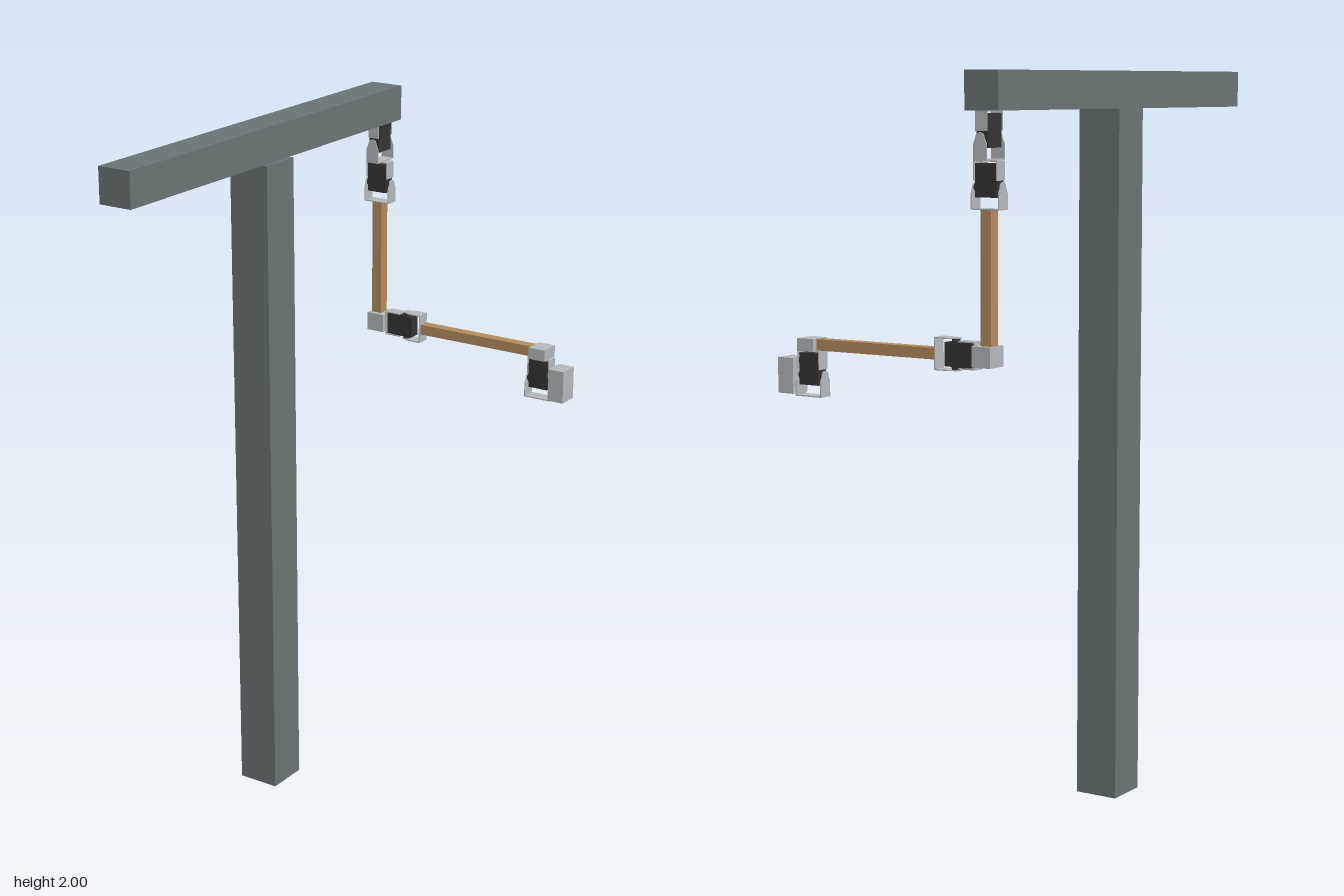
import * as THREE from 'three';

const mat = (name, color) => {
  const m = new THREE.MeshStandardMaterial({ color });
  m.name = name;
  return m;
};

export function createModel() {
  const steel = mat('slate grey', 0x6a7474);
  const metal = mat('light grey', 0xb4b8ba);
  const dark = mat('servo black', 0x343434);
  const wood = mat('wood', 0xb38b5e);

  const model = new THREE.Group();
  model.name = 'armOnStand';

  const add = (parent, name, geometry, material, x = 0, y = 0, z = 0) => {
    const mesh = new THREE.Mesh(geometry, material);
    mesh.name = name;
    mesh.position.set(x, y, z);
    parent.add(mesh);
    return mesh;
  };
  // Box given by its minimum and maximum on each axis
  const box = (parent, name, material, [x0, x1], [y0, y1], [z0, z1]) =>
    add(parent, name, new THREE.BoxGeometry(x1 - x0, y1 - y0, z1 - z0), material,
      (x0 + x1) / 2, (y0 + y1) / 2, (z0 + z1) / 2);

  // Tapered side plate of a joint bracket, rounded at the pivot
  const T = 0.003;
  const outline = new THREE.Shape();
  outline.moveTo(-0.02, -0.122);
  outline.lineTo(0.02, -0.122);
  outline.lineTo(0.02, -0.082);
  outline.lineTo(0.013, -0.066);
  outline.absarc(0, -0.066, 0.013, 0, Math.PI, false);
  outline.lineTo(-0.02, -0.082);
  outline.closePath();
  const plateGeometry = new THREE.ExtrudeGeometry(outline, { depth: T, bevelEnabled: false, curveSegments: 6 });
  plateGeometry.translate(0, 0, -T / 2);
  plateGeometry.rotateY(Math.PI / 2);

  // Servo joint hanging along local -y, hinged about local x
  function joint(name, x, y, z) {
    const g = new THREE.Group();
    g.name = name;
    g.position.set(x, y, z);
    box(g, 'holderBase', metal, [-0.035, 0.035], [-T, 0], [-0.018, 0.018]);
    box(g, 'servoBody', dark, [-0.031, 0.031], [-0.092, -0.007], [-0.017, 0.017]);
    box(g, 'servoFlange', dark, [-0.033, 0.033], [-0.075, -0.02], [-0.015, 0.015]);
    for (const s of [-1, 1]) {
      add(g, 'holderSide', new THREE.BoxGeometry(T, 0.05, 0.036), metal, s * 0.0345, -0.025, 0);
      const horn = add(g, 'servoHorn', new THREE.CylinderGeometry(0.011, 0.011, 0.009, 16), dark, s * 0.036, -0.067, 0);
      horn.rotation.z = Math.PI / 2;
      add(g, 'bracketSide', plateGeometry, metal, s * 0.041, 0, 0);
    }
    box(g, 'bracketBase', metal, [-0.0425, 0.0425], [-0.123, -0.12], [-0.02, 0.02]);
    model.add(g);
    return g;
  }

  // Stand
  box(model, 'post', steel, [-0.36, -0.236], [0, 1.9], [-0.059, 0.066]);
  box(model, 'beam', steel, [-0.35, -0.249], [1.9, 2], [-0.629, 0.636]);

  const X = -0.3, Z = -0.595, Y = 1.285;

  // Two crossed shoulder joints
  joint('shoulderSwing', X, 1.9, Z).rotation.y = Math.PI / 2;
  joint('shoulderLift', X, 1.777, Z);

  // Upper arm and elbow
  box(model, 'upperArm', wood, [X - 0.016, X + 0.016], [1.3, 1.655], [Z - 0.016, Z + 0.016]);
  box(model, 'elbowBlock', metal, [-0.322, -0.266], [1.258, 1.312], [Z - 0.031, Z + 0.031]);
  joint('elbow', -0.266, Y, Z).rotation.z = Math.PI / 2;

  // Forearm and wrist
  box(model, 'forearm', wood, [-0.144, 0.245], [Y - 0.016, Y + 0.014], [Z - 0.016, Z + 0.016]);
  box(model, 'wristBlock', metal, [0.238, 0.291], [1.266, 1.3], [Z - 0.031, Z + 0.031]);
  joint('wrist', 0.264, 1.267, Z);

  // End block on the outer side of the wrist bracket
  box(model, 'endBlock', metal, [0.306, 0.356], [1.15, 1.246], [Z - 0.031, Z + 0.031]);

  return model;
}
